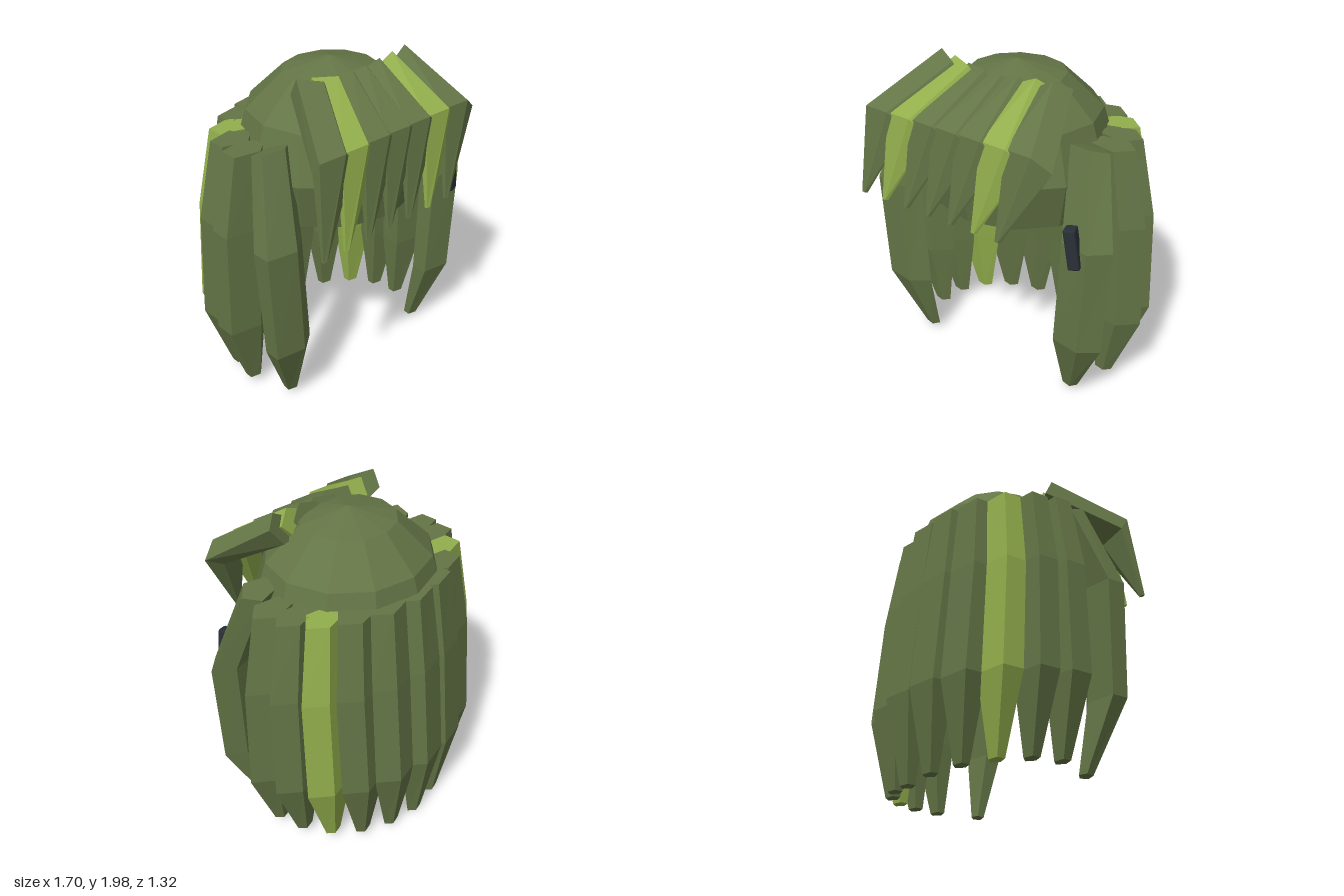
import * as THREE from 'three';
import { RoundedBoxGeometry } from 'three/addons/geometries/RoundedBoxGeometry.js';

const SIDES = 5;
const vec = (a) => new THREE.Vector3(...a);
const material = (color) => new THREE.MeshStandardMaterial({ color, flatShading: true, side: THREE.DoubleSide });

// Lofts a closed five-sided lock through rings { c: centre, u, v: axes, ru, rv: radii }.
function lockGeometry(rings) {
  const positions = [];
  const point = (ring, k) => {
    const a = (k / SIDES) * Math.PI * 2;
    return vec(ring.c)
      .addScaledVector(vec(ring.u).normalize(), ring.ru * Math.cos(a))
      .addScaledVector(vec(ring.v).normalize(), ring.rv * Math.sin(a));
  };
  const triangle = (...pts) => pts.forEach((p) => positions.push(p.x, p.y, p.z));
  const first = rings[0];
  const last = rings[rings.length - 1];
  for (let k = 0; k < SIDES; k++) {
    for (let i = 0; i < rings.length - 1; i++) {
      const a = point(rings[i], k), b = point(rings[i], k + 1);
      const c = point(rings[i + 1], k + 1), d = point(rings[i + 1], k);
      triangle(a, b, c);
      triangle(a, c, d);
    }
    triangle(vec(first.c), point(first, k + 1), point(first, k));
    triangle(vec(last.c), point(last, k), point(last, k + 1));
  }
  const geometry = new THREE.BufferGeometry();
  geometry.setAttribute('position', new THREE.Float32BufferAttribute(positions, 3));
  geometry.computeVertexNormals();
  return geometry;
}

export function createModel() {
  const model = new THREE.Group();
  const green = material(0x647546);
  const lime = material(0x92ae4c);
  const dark = material(0x2a2f37);
  const midX = -0.015;
  const X = [1, 0, 0];

  const add = (name, geometry, mat) => {
    const mesh = new THREE.Mesh(geometry, mat);
    mesh.name = name;
    model.add(mesh);
    return mesh;
  };

  // Faceted cap, open at the bottom
  const cap = add('cap', new THREE.SphereGeometry(0.56, 12, 4, 0, Math.PI * 2, 0, 2.04), green);
  cap.scale.set(1.04, 1, 0.985);
  cap.position.set(midX, 1.4, 0.018);

  // Long overlapping locks around the sides and back, on an ellipse:
  // [y, ellipse x, ellipse z, lock radius x, lock radius z]
  const levels = [
    [1.6, 0.625, 0.455, 0.135, 0.09],
    [1.14, 0.69, 0.51, 0.165, 0.105],
    [0.49, 0.7, 0.57, 0.168, 0.107],
    [0.0, 0.64, 0.545, 0.055, 0.04],
  ];
  for (let i = -5; i <= 5; i++) {
    const angle = i * Math.PI / 10;
    const s = Math.sin(angle), c = Math.cos(angle);
    const rings = levels.map(([y, ex, ez, ru, rv], n) => ({
      c: [midX + ex * s, n === 3 ? 0.06 * Math.abs(s) : y, 0.01 - ez * c],
      u: X, v: [0, 0, 1], ru, rv,
    }));
    add('longLock', lockGeometry(rings), Math.abs(i) === 3 ? lime : green);
  }

  // Locks framing the face: [x, y, z, radius x, radius z, tilt]
  const frame = [
    [0.57, 1.625, 0.165, 0.12, 0.08, 0.35],
    [0.665, 1.13, 0.32, 0.16, 0.095, 0],
    [0.625, 0.45, 0.33, 0.16, 0.085, 0],
    [0.54, 0.045, 0.24, 0.05, 0.035, -0.15],
  ];
  for (const side of [-1, 1]) {
    const rings = frame.map(([x, y, z, ru, rv, tilt]) => ({
      c: [midX + side * x, y, z], u: X, v: [0, tilt, 1], ru, rv,
    }));
    add(side > 0 ? 'leftFaceLock' : 'rightFaceLock', lockGeometry(rings), green);
  }

  // Swept fringe: seven locks fanning off the cap, bending forward and tapering to points
  for (let i = 0; i < 7; i++) {
    const root = [-0.325 + i * 0.107, 1.87 + Math.abs(i - 3) * 0.006, 0.2];
    const bend = [-0.52 + i * 0.158, 1.67, 0.57];
    const rootV = [0, 0.9, 0.45];
    const rootU = vec(rootV).cross(vec(bend).sub(vec(root))).normalize();
    rootU.y += (i - 3) * 0.08;
    const rings = [
      { c: root, u: rootU.toArray(), v: rootV, ru: 0.135, rv: 0.095 },
      { c: bend, u: [1, -0.12, 0], v: [0, 0.8, 0.5], ru: 0.15, rv: 0.08 },
      { c: [-0.66 + i * 0.159, 1.195, 0.65], u: X, v: [0, 0.15, 1], ru: 0.02, rv: 0.013 },
    ];
    add('fringeLock', lockGeometry(rings), i === 1 || i === 5 ? lime : green);
  }

  // Hair clip
  const clip = add('hairClip', new RoundedBoxGeometry(0.07, 0.25, 0.075, 1, 0.012), dark);
  clip.position.set(0.613, 1.147, 0.41);
  clip.rotation.set(0, 0.25, 0.15);

  return model;
}
